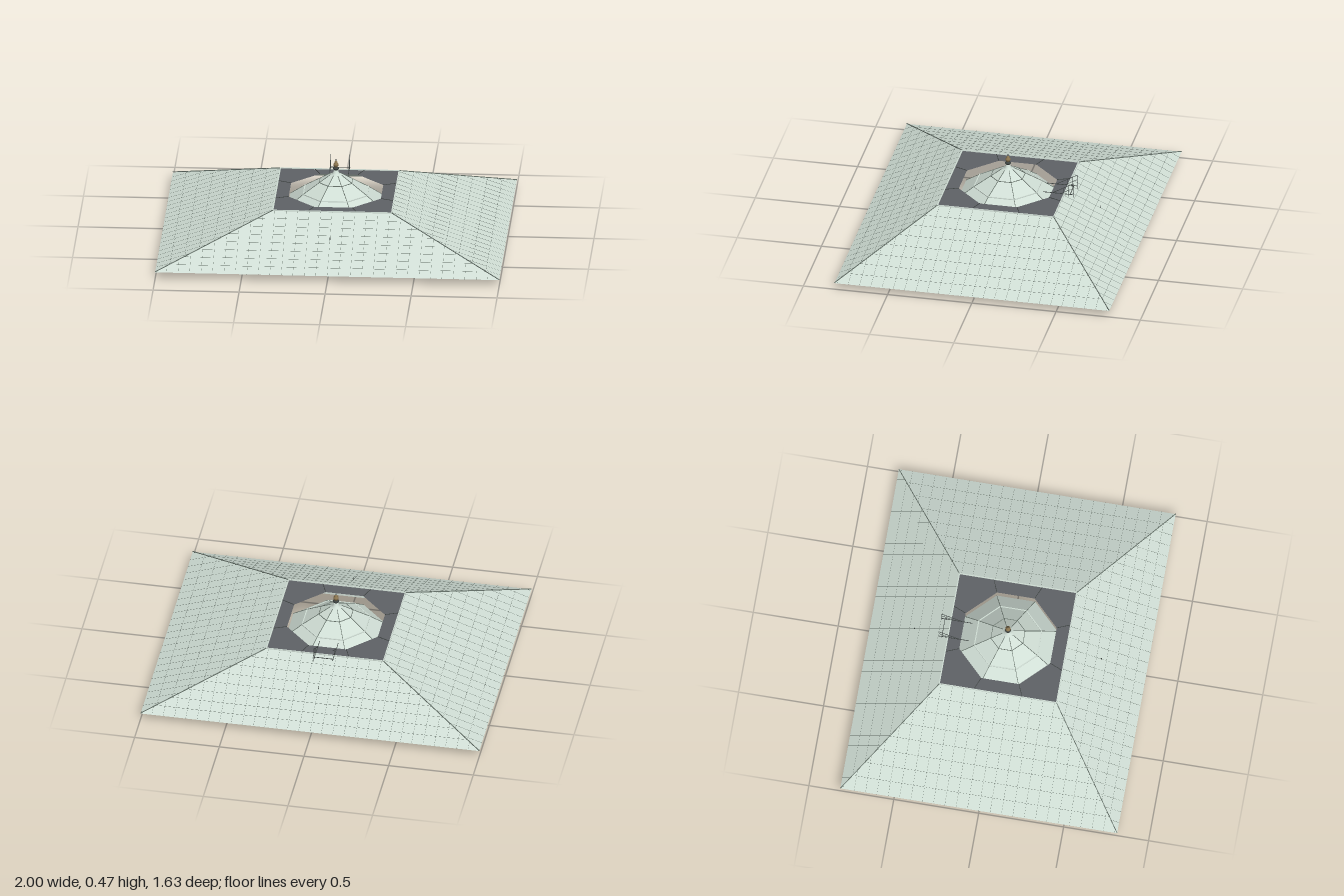
import * as THREE from 'three';
import { mergeGeometries } from 'three/addons/utils/BufferGeometryUtils.js';

const mat = (name, color, side = THREE.FrontSide) => {
  const m = new THREE.MeshStandardMaterial({ color, side });
  m.name = name;
  return m;
};

export function createModel() {
  const model = new THREE.Group();
  const tile = mat('pale green tile', 0xd0ded5, THREE.DoubleSide);
  const pale = mat('pale inner lining', 0xd4e0d8);
  const seam = mat('dark green seam', 0x66726a);
  const slate = mat('slate deck', 0x5f6267, THREE.DoubleSide);
  const tan = mat('tan timber', 0xac967a);
  const ceilingGreen = mat('deep green ceiling', 0x2a4a42, THREE.DoubleSide);
  const iron = mat('dark iron', 0x3c4240);
  const bronze = mat('bronze', 0x8c7650);

  const add = (name, geo, material, y = 0) => {
    const m = new THREE.Mesh(geo, material);
    m.name = name;
    m.position.y = y;
    model.add(m);
    return m;
  };
  const V = (x, y, z) => new THREE.Vector3(x, y, z);
  // Flat polygons, each a counter-clockwise fan of points
  const faces = (polys) => {
    const p = [];
    for (const f of polys)
      for (let i = 1; i < f.length - 1; i++) for (const v of [f[0], f[i], f[i + 1]]) p.push(v.x, v.y, v.z);
    const g = new THREE.BufferGeometry();
    g.setAttribute('position', new THREE.Float32BufferAttribute(p, 3));
    g.computeVertexNormals();
    return g;
  };
  // Square bar between two points, optionally raised off the surface
  const bar = (a, b, w, lift = 0) => {
    const g = new THREE.BoxGeometry(w, w, a.distanceTo(b));
    const o = new THREE.Object3D();
    o.position.copy(a).add(b).multiplyScalar(0.5);
    o.lookAt(b);
    o.position.y += lift;
    o.updateMatrix();
    return g.applyMatrix4(o.matrix);
  };
  const octagon = (r, C = THREE.Shape) => {
    const pts = [];
    for (let i = 0; i < 8; i++) {
      const a = Math.PI / 8 + (i * Math.PI) / 4;
      pts.push(new THREE.Vector2(r * Math.cos(a), r * Math.sin(a)));
    }
    return new C(pts);
  };
  const corner = (i, r, y) => {
    const a = Math.PI / 8 + (i * Math.PI) / 4;
    return V(r * Math.sin(a), y, r * Math.cos(a));
  };
  const eight = [...Array(8).keys()];

  // Main hipped roof
  const X = 1, Z = 0.815, T = 0.345, Y0 = 0.04, Y1 = 0.26;
  const ring = (t) => {
    const x = X + (T - X) * t, z = Z + (T - Z) * t, y = Y0 + (Y1 - Y0) * t;
    return [V(-x, y, z), V(x, y, z), V(x, y, -z), V(-x, y, -z)];
  };
  const lo = ring(0), hi = ring(1);
  add('mainRoof', faces([0, 1, 2, 3].map((i) => {
    const j = (i + 1) % 4;
    return [lo[i], lo[j], hi[j], hi[i]];
  })), tile);

  // Fine tile joints: rows around the roof, columns running up each slope to the hip
  const joints = [], jw = 0.001, jl = 0.0009;
  for (let k = 1; k < 8; k++) {
    const r = ring(k / 8);
    r.forEach((v, i) => joints.push(bar(v, r[(i + 1) % 4], jw, jl)));
  }
  const step = 1 / 15;
  for (let k = -14; k <= 14; k++) {
    const c = k * step;
    for (const s of [-1, 1]) {
      const tx = Math.min(1, (X - Math.abs(c)) / (X - T));
      joints.push(bar(V(c, Y0, s * Z), V(c, Y0 + 0.22 * tx, s * (Z + (T - Z) * tx)), jw, jl));
      if (Math.abs(c) < Z) {
        const tz = Math.min(1, (Z - Math.abs(c)) / (Z - T));
        joints.push(bar(V(s * X, Y0, c), V(s * (X + (T - X) * tz), Y0 + 0.22 * tz, c), jw, jl));
      }
    }
  }
  add('tileJoints', mergeGeometries(joints), seam);
  add('hipRidges', mergeGeometries(lo.map((v, i) => bar(v, hi[i], 0.004, 0.003))), seam);
  add('deckTrim', mergeGeometries(hi.map((v, i) => bar(v, hi[(i + 1) % 4], 0.006, 0.002))), tile);

  // Flat deck with an octagonal opening
  const deckShape = new THREE.Shape([[-T, -T], [T, -T], [T, T], [-T, T]].map((p) => new THREE.Vector2(...p)));
  deckShape.holes.push(octagon(0.29, THREE.Path));
  add('deck', new THREE.ShapeGeometry(deckShape).rotateX(-Math.PI / 2), slate, Y1);
  add('deckSeams', mergeGeometries(eight.map((i) => {
    const a = corner(i, 0.29, Y1), b = a.clone();
    b.multiplyScalar(T / Math.max(Math.abs(a.x), Math.abs(a.z))).setY(Y1);
    return bar(a, b, 0.003, 0.001);
  })), iron);

  // Octagonal dome with ribs, a dark upper ring and a pale lower ring
  const profile = [[0.295, 0.195], [0.2, 0.262], [0.102, 0.322], [0.034, 0.364]];
  const domeFaces = [], ribs = [], paleRing = [];
  for (const i of eight) {
    for (let k = 0; k < 3; k++) {
      const [r0, y0] = profile[k], [r1, y1] = profile[k + 1];
      domeFaces.push([corner(i, r0, y0), corner(i + 1, r0, y0), corner(i + 1, r1, y1), corner(i, r1, y1)]);
      ribs.push(bar(corner(i, r0, y0), corner(i, r1, y1), 0.003, 0.001));
    }
    ribs.push(bar(corner(i, 0.102, 0.322), corner(i + 1, 0.102, 0.322), 0.003, 0.001));
    paleRing.push(bar(corner(i, 0.2, 0.262), corner(i + 1, 0.2, 0.262), 0.006));
  }
  add('dome', faces(domeFaces), tile);
  add('domeRibs', mergeGeometries(ribs), seam);
  add('domeRing', mergeGeometries(paleRing), tile);

  // Finial: pale collar, iron disc, bronze bulbs and an iron spike
  const lathe = (pts) => new THREE.LatheGeometry(pts.map((p) => new THREE.Vector2(...p)), 16);
  add('finialCollar', lathe([[0.034, 0.362], [0.018, 0.369], [0.014, 0.386], [0.009, 0.39], [0, 0.391]]), tile);
  add('finialDisc', lathe([[0, 0.388], [0.01, 0.39], [0.017, 0.398], [0.017, 0.403], [0.007, 0.408], [0, 0.408]]), iron);
  add('finialBulb', lathe([[0, 0.406], [0.009, 0.409], [0.016, 0.42], [0.015, 0.428], [0.007, 0.435],
    [0.009, 0.439], [0.004, 0.445], [0, 0.446]]), bronze);
  add('finialSpike', new THREE.ConeGeometry(0.004, 0.026, 8), iron, 0.453);

  // Octagonal drum, pale wall up to the dome, recessed ceiling with a ringed boss
  const octRing = (outer, inner, depth) => {
    const s = octagon(outer);
    s.holes.push(octagon(inner, THREE.Path));
    return new THREE.ExtrudeGeometry(s, { depth, bevelEnabled: false }).rotateX(-Math.PI / 2);
  };
  add('drum', octRing(0.29, 0.255, 0.045), tan);
  add('drumLedge', octRing(0.308, 0.25, 0.015), tan, 0.045);
  add('drumWall', faces(eight.map((i) =>
    [corner(i, 0.285, 0.06), corner(i + 1, 0.285, 0.06), corner(i + 1, 0.285, 0.2), corner(i, 0.285, 0.2)])), pale);
  add('wallPosts', mergeGeometries(eight.map((i) => bar(corner(i, 0.285, 0.06), corner(i, 0.285, 0.2), 0.005))), seam);
  add('ceiling', new THREE.ShapeGeometry(octagon(0.256)).rotateX(-Math.PI / 2), ceilingGreen, 0.022);
  add('ceilingRing', new THREE.TorusGeometry(0.07, 0.012, 8, 24).rotateX(Math.PI / 2), tan, 0.018);
  add('ceilingBoss', new THREE.CylinderGeometry(0.064, 0.064, 0.012, 24), slate, 0.014);

  // Inner gabled lining below the main roof
  const gx = 0.22, gz = 0.55, gy = 0.155;
  for (const s of [-1, 1]) {
    const slope = [V(s * gx, Y0, -gz), V(0, gy, -gz), V(0, gy, gz), V(s * gx, Y0, gz)];
    add('innerSlope', faces([s > 0 ? slope.reverse() : slope]), pale);
    const end = [V(-gx, Y0, s * gz), V(gx, Y0, s * gz), V(0, gy, s * gz)];
    add('innerGable', faces([end, [...end].reverse()]), pale);
    add('gableSpike', new THREE.CylinderGeometry(0.002, 0.003, 0.03, 6), iron, 0.165).position.z = s * gz;
  }

  // Access walkway and handrails at the back
  const rails = [bar(V(-0.06, 0.262, -0.38), V(0.06, 0.262, -0.38), 0.003)];
  for (const x of [-0.055, 0.055]) {
    rails.push(bar(V(x, 0.265, -0.28), V(x, 0.335, -0.4), 0.0025));
    rails.push(bar(V(x, 0.265, -0.33), V(x, 0.305, -0.4), 0.002));
    rails.push(bar(V(x, 0.263, -0.22), V(x, 0.263, -0.4), 0.003));
    for (const z of [-0.34, -0.37, -0.4])
      rails.push(bar(V(x, 0.245, z), V(x, 0.265 + ((-0.28 - z) * 0.07) / 0.12, z), 0.002));
  }
  add('accessRails', mergeGeometries(rails), iron);

  return model;
}
